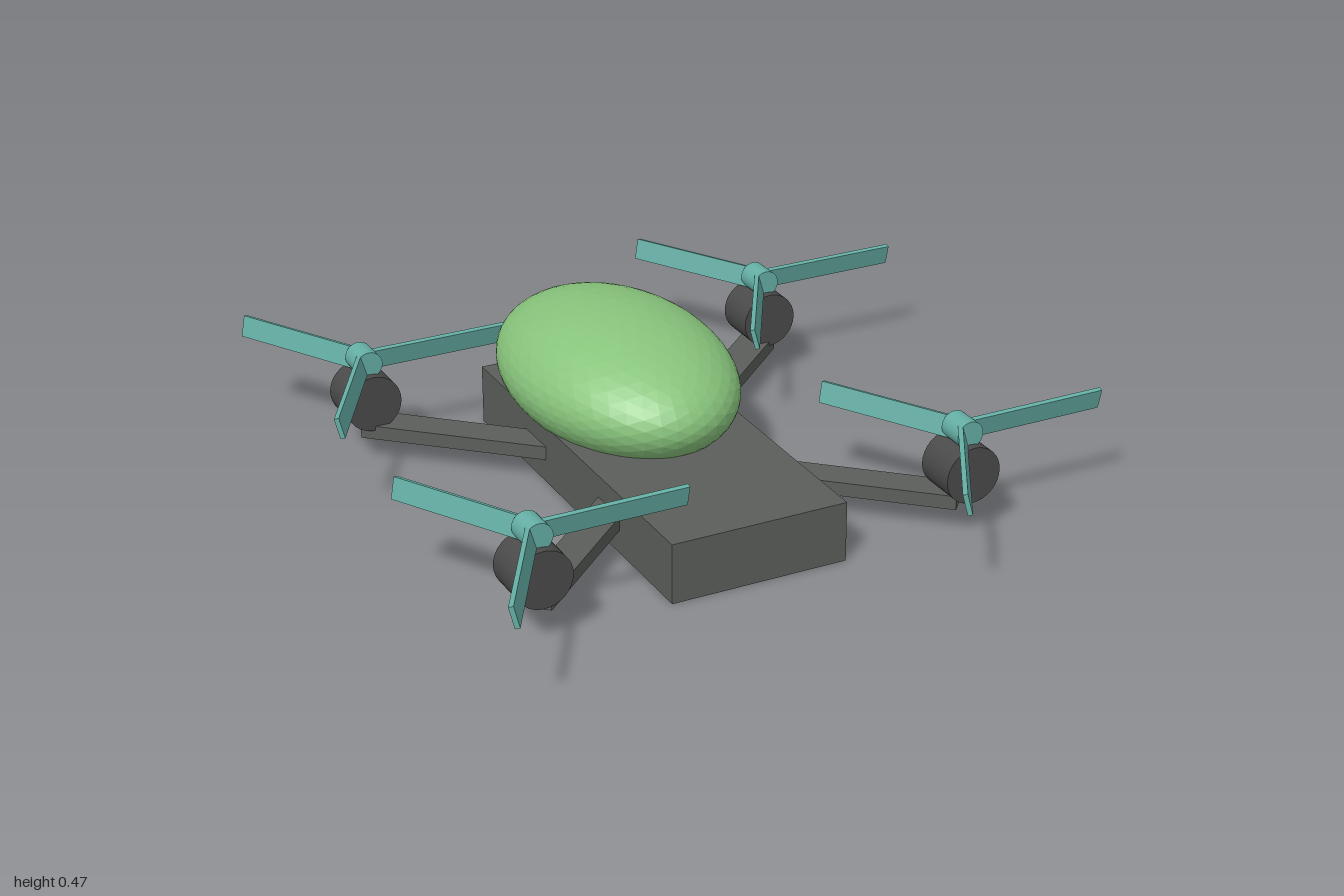
import * as THREE from 'three';

const mat = (color, flatShading = false) => new THREE.MeshStandardMaterial({ color, flatShading });

function part(name, geometry, material, x = 0, y = 0, z = 0) {
  const mesh = new THREE.Mesh(geometry, material);
  mesh.name = name;
  mesh.position.set(x, y, z);
  return mesh;
}

export function createModel() {
  const model = new THREE.Group();
  model.name = 'quadcopter';

  const grey = mat(0x5a5e5a);
  const dark = mat(0x4a4a4a);
  const teal = mat(0x64aea4);
  const green = mat(0x88c47c, true);

  const cx = -0.107; // the fuselage sits off centre because the blades reach further on one side
  const reachX = 0.654, reachZ = 0.592;

  // Fuselage slab and egg-shaped canopy
  model.add(part('body', new THREE.BoxGeometry(0.535, 0.18, 1.26), grey, cx, 0.09, 0));
  const canopy = part('canopy', new THREE.IcosahedronGeometry(1, 7), green, cx, 0.271, -0.255);
  canopy.scale.set(0.32, 0.194, 0.485);
  model.add(canopy);

  // Shared shapes: arm starts at the body centre, blade starts at the hub
  const armLength = Math.hypot(reachX, reachZ);
  const armGeometry = new THREE.BoxGeometry(armLength, 0.042, 0.1).translate(armLength / 2, 0, 0);
  const motorGeometry = new THREE.CylinderGeometry(0.085, 0.085, 0.135, 32).rotateX(Math.PI / 2);
  const hubGeometry = new THREE.CylinderGeometry(0.041, 0.041, 0.085, 32).rotateX(Math.PI / 2);
  const bladeGeometry = new THREE.BoxGeometry(0.453, 0.063, 0.014)
    .rotateX(0.25)
    .translate(0.2265, 0, 0);

  // Four arms, each with a motor and a three-bladed rotor
  for (const sx of [-1, 1]) {
    for (const sz of [-1, 1]) {
      const x = cx + sx * reachX, z = sz * reachZ;

      const arm = part('arm', armGeometry, grey, cx, 0.092, 0);
      arm.rotation.y = -Math.atan2(z, sx * reachX);
      model.add(arm);

      model.add(part('motor', motorGeometry, dark, x, 0.185, z));

      const rotor = new THREE.Group();
      rotor.name = 'rotor';
      rotor.position.set(x, 0.298, z);
      rotor.add(part('hub', hubGeometry, teal));
      for (let i = 0; i < 3; i++) {
        const blade = part('blade', bladeGeometry, teal);
        blade.rotation.y = (i * Math.PI * 2) / 3;
        rotor.add(blade);
      }
      model.add(rotor);
    }
  }
  return model;
}
